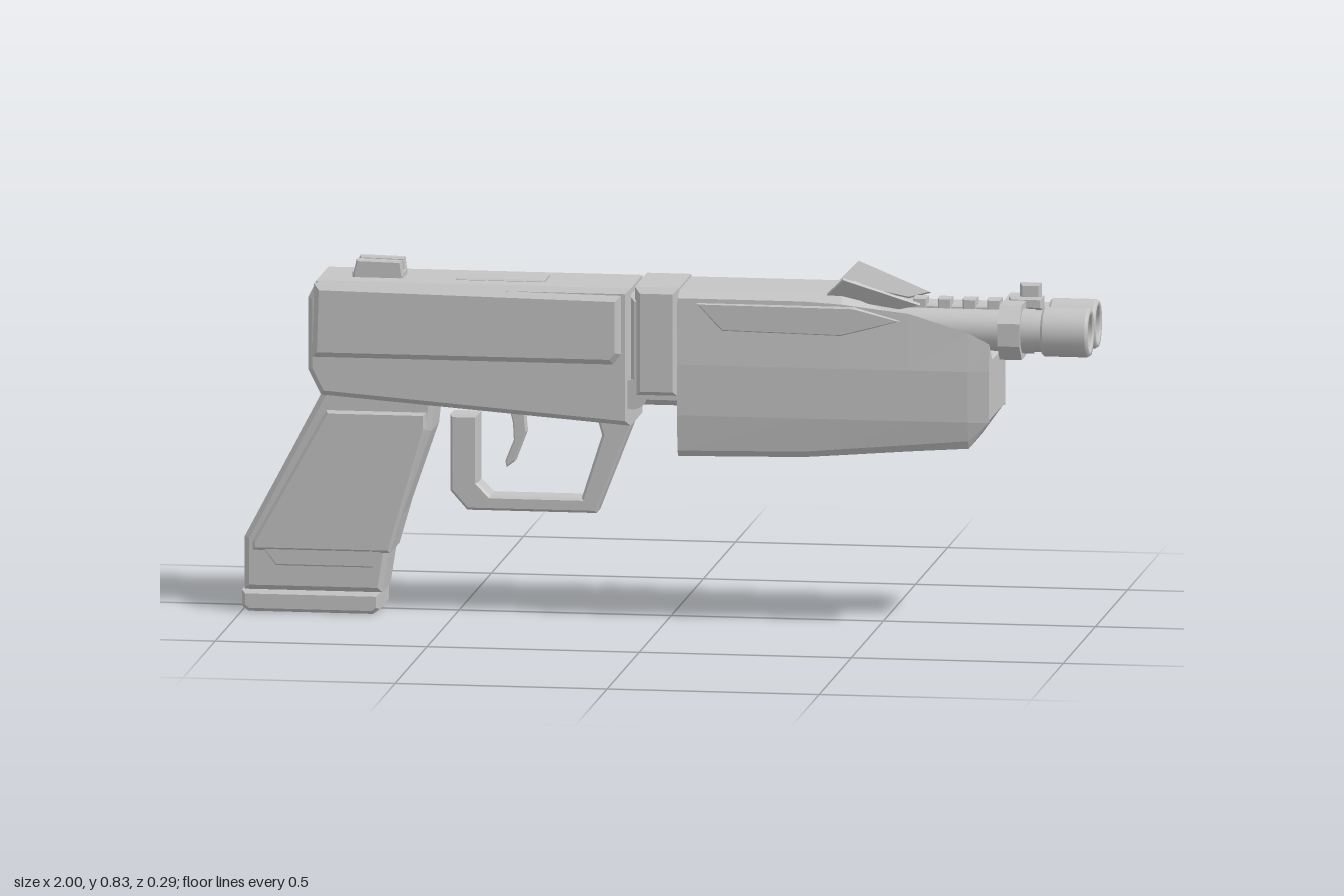
import * as THREE from 'three';

const grey = new THREE.MeshStandardMaterial({ color: 0xc4c4c4 });
grey.name = 'grey';

function add(parent, name, geometry, x = 0, y = 0, z = 0) {
  const mesh = new THREE.Mesh(geometry, grey);
  mesh.name = name;
  mesh.position.set(x, y, z);
  parent.add(mesh);
  return mesh;
}

// Side profile extruded across z, centred, with chamfered edges
function slab(points, half, bevel = 0.01) {
  const shape = new THREE.Shape(points.map(p => new THREE.Vector2(p[0], p[1])));
  const g = new THREE.ExtrudeGeometry(shape, {
    depth: 2 * (half - bevel), bevelEnabled: true, bevelThickness: bevel,
    bevelSize: bevel, bevelOffset: -bevel, bevelSegments: 1, curveSegments: 8,
  });
  return g.translate(0, 0, -(half - bevel));
}

const rect = (x0, x1, y0, y1) => [[x0, y0], [x1, y0], [x1, y1], [x0, y1]];
const box = (x0, x1, y0, y1, half, bevel = 0.006) => slab(rect(x0, x1, y0, y1), half, bevel);

// Faceted hull through mirrored half sections: { x, half: [[z, y], ...] from top centre to bottom centre }
function loft(sections) {
  const rings = sections.map(({ x, half }) => {
    const other = half.slice(1, -1).reverse().map(([z, y]) => [-z, y]);
    return [...half, ...other].map(([z, y]) => new THREE.Vector3(x, y, z));
  });
  const pts = [];
  const n = rings[0].length;
  for (let s = 0; s < rings.length - 1; s++) {
    const a = rings[s], b = rings[s + 1];
    for (let i = 0; i < n; i++) {
      const j = (i + 1) % n;
      pts.push(a[i], a[j], b[i], a[j], b[j], b[i]);
    }
  }
  const cap = (ring, flip) => {
    const c = new THREE.Vector3(ring[0].x, 0.57, 0);
    for (let i = 0; i < n; i++) {
      const j = (i + 1) % n;
      pts.push(c, ring[flip ? j : i], ring[flip ? i : j]);
    }
  };
  cap(rings[0], true);
  cap(rings[rings.length - 1], false);
  const g = new THREE.BufferGeometry().setFromPoints(pts);
  g.computeVertexNormals();
  return g;
}

// Tube of [radius, x] points turned about the x axis
function turned(points) {
  const g = new THREE.LatheGeometry(points.map(p => new THREE.Vector2(p[0], p[1])), 32);
  return g.rotateZ(-Math.PI / 2);
}

export function createModel() {
  const model = new THREE.Group();
  model.name = 'blaster';
  const body = new THREE.Group();
  body.name = 'body';
  body.position.z = 0.01;
  model.add(body);

  // Receiver with its raised side cover
  add(body, 'receiver', slab([[-0.84, 0.58], [-0.81, 0.52], [-0.08, 0.465], [-0.08, 0.79],
    [-0.82, 0.79], [-0.84, 0.75]], 0.105, 0.012));
  add(body, 'receiverCover', slab([[-0.83, 0.61], [-0.12, 0.61], [-0.10, 0.635], [-0.10, 0.775],
    [-0.825, 0.785]], 0.118, 0.014));
  add(body, 'topPlate', box(-0.5, -0.29, 0.78, 0.795, 0.04, 0.004));

  // Neck joining receiver and fore-end
  add(body, 'neck', box(-0.085, 0.045, 0.515, 0.775, 0.1, 0.014));
  add(body, 'neckBand', box(-0.07, 0.035, 0.535, 0.795, 0.109, 0.014));
  const pin = add(body, 'pivotPin', new THREE.CylinderGeometry(0.035, 0.035, 0.2, 24), -0.075, 0.54, 0);
  pin.rotation.x = Math.PI / 2;

  // Fore-end: full height behind, with a trough for the barrels in front
  const section = (x, centre, inner, shoulder, low, bottom, w = 0.134) => ({
    x, half: [[0, centre], [0.09, inner], [0.122, shoulder], [w, 0.62], [w, 0.5],
      [0.125, low], [0.112, bottom], [0, bottom]],
  });
  add(body, 'foreEnd', loft([
    section(0.035, 0.79, 0.79, 0.775, 0.415, 0.4),
    section(0.33, 0.79, 0.79, 0.775, 0.42, 0.405),
    section(0.42, 0.79, 0.79, 0.77, 0.428, 0.412),
    section(0.58, 0.71, 0.73, 0.752, 0.442, 0.425),
    section(0.72, 0.66, 0.665, 0.71, 0.455, 0.435, 0.132),
    section(0.77, 0.64, 0.642, 0.685, 0.52, 0.505, 0.126),
  ]));
  add(body, 'foreEndPanel', slab([[0.08, 0.765], [0.14, 0.7], [0.42, 0.695], [0.56, 0.735],
    [0.45, 0.765]], 0.13, 0.004));

  // Flared fins beside the trough
  for (const s of [1, -1]) {
    const fin = add(body, s > 0 ? 'leftFin' : 'rightFin',
      slab([[-0.12, 0], [-0.075, 0.055], [0.1, -0.02], [0.05, -0.035]], 0.004, 0.001), 0.5, 0.785, s * 0.092);
    fin.rotation.x = s * 0.58;
  }

  // Twin barrels with hollow muzzles
  for (const s of [1, -1]) {
    const barrel = new THREE.Group();
    barrel.name = s > 0 ? 'leftBarrel' : 'rightBarrel';
    barrel.position.set(0, 0.708, s * 0.06);
    body.add(barrel);
    add(barrel, 'tube', turned([[0.048, 0.4], [0.048, 0.89]]));
    add(barrel, 'muzzleBack', turned([[0.04, 0.888], [0.054, 0.888]]).scale(1, 1, 1)).material = grey;
    add(barrel, 'muzzleSleeve', turned([[0.054, 0.888], [0.058, 0.893]]));
    add(barrel, 'muzzle', turned([[0.058, 0.893], [0.058, 0.993]]));
    add(barrel, 'muzzleLip', turned([[0.058, 0.993], [0.054, 1], [0.046, 1], [0.043, 0.996]]));
    add(barrel, 'bore', turned([[0.043, 0.996], [0.043, 0.82]]));
    add(barrel, 'boreFloor', turned([[0.043, 0.82], [0, 0.82]]));
    // Eight-sided clamp ring
    const clamp = add(barrel, 'clamp', new THREE.CylinderGeometry(0.07, 0.07, 0.052, 8)
      .toNonIndexed().rotateY(Math.PI / 8).rotateZ(Math.PI / 2), 0.815, 0, 0);
    clamp.geometry.computeVertexNormals();
    // Narrow collar ahead of the clamp
    add(barrel, 'collar', turned([[0.052, 0.84], [0.052, 0.87]]));
  }
  add(body, 'clampBridge', box(0.789, 0.841, 0.645, 0.772, 0.06));

  // Rib with raised blocks between the barrels
  add(body, 'rib', box(0.56, 0.8, 0.7, 0.757, 0.016, 0.004));
  for (let i = 0; i < 4; i++) {
    add(body, 'ribBlock', box(0.575 + i * 0.058, 0.607 + i * 0.058, 0.74, 0.773, 0.019, 0.003));
  }

  // Sights
  add(body, 'frontSightBase', box(0.8, 0.88, 0.75, 0.78, 0.018));
  add(body, 'frontSight', box(0.825, 0.875, 0.77, 0.812, 0.011));
  add(body, 'rearSightBase', box(-0.745, -0.625, 0.78, 0.802, 0.038));
  for (const s of [1, -1]) {
    add(body, 'rearSightPost', slab([[-0.745, 0.79], [-0.625, 0.79], [-0.63, 0.83], [-0.735, 0.832]],
      0.012, 0.004), 0, 0, s * 0.026);
  }

  // Trigger and guard
  add(body, 'triggerGuard', slab([[-0.515, 0.47], [-0.515, 0.29], [-0.475, 0.245], [-0.17, 0.245],
    [-0.08, 0.475], [-0.17, 0.475], [-0.157, 0.43], [-0.205, 0.28], [-0.42, 0.28],
    [-0.45, 0.31], [-0.45, 0.47]], 0.035, 0.006));
  add(body, 'trigger', slab([[-0.385, 0.51], [-0.345, 0.51], [-0.338, 0.43], [-0.365, 0.36],
    [-0.385, 0.345], [-0.388, 0.36], [-0.368, 0.41], [-0.37, 0.45]], 0.014, 0.003));

  // Grip with side panels and base plate
  add(body, 'grip', slab([[-0.8, 0.55], [-0.815, 0.515], [-0.995, 0.175], [-0.995, 0.05],
    [-0.67, 0.05], [-0.655, 0.145], [-0.555, 0.435], [-0.545, 0.53]], 0.074, 0.012));
  add(body, 'gripPanels', slab([[-0.8, 0.48], [-0.975, 0.165], [-0.975, 0.145], [-0.65, 0.145],
    [-0.565, 0.44], [-0.565, 0.48]], 0.081, 0.007));
  add(body, 'gripInset', slab([[-0.95, 0.15], [-0.92, 0.11], [-0.69, 0.11], [-0.67, 0.15]], 0.077, 0.003));
  add(body, 'basePlate', slab([[-1, 0.012], [-0.985, 0], [-0.69, 0], [-0.675, 0.012],
    [-0.675, 0.05], [-1, 0.05]], 0.08, 0.008));

  // Selector plate and rear knob on the right side
  add(body, 'selectorPlate', slab([[-0.37, 0.57], [-0.355, 0.555], [-0.195, 0.555], [-0.18, 0.57],
    [-0.18, 0.635], [-0.37, 0.635]], 0.012, 0.004), 0, 0, -0.113);
  add(body, 'selector', box(-0.31, -0.235, 0.582, 0.612, 0.005, 0.002), 0, 0, -0.126);
  const stem = add(body, 'knobStem', new THREE.CylinderGeometry(0.01, 0.01, 0.05, 16), -0.8, 0.645, -0.12);
  const knob = add(body, 'knob', new THREE.CylinderGeometry(0.02, 0.02, 0.018, 20), -0.8, 0.645, -0.145);
  stem.rotation.x = knob.rotation.x = Math.PI / 2;

  return model;
}
